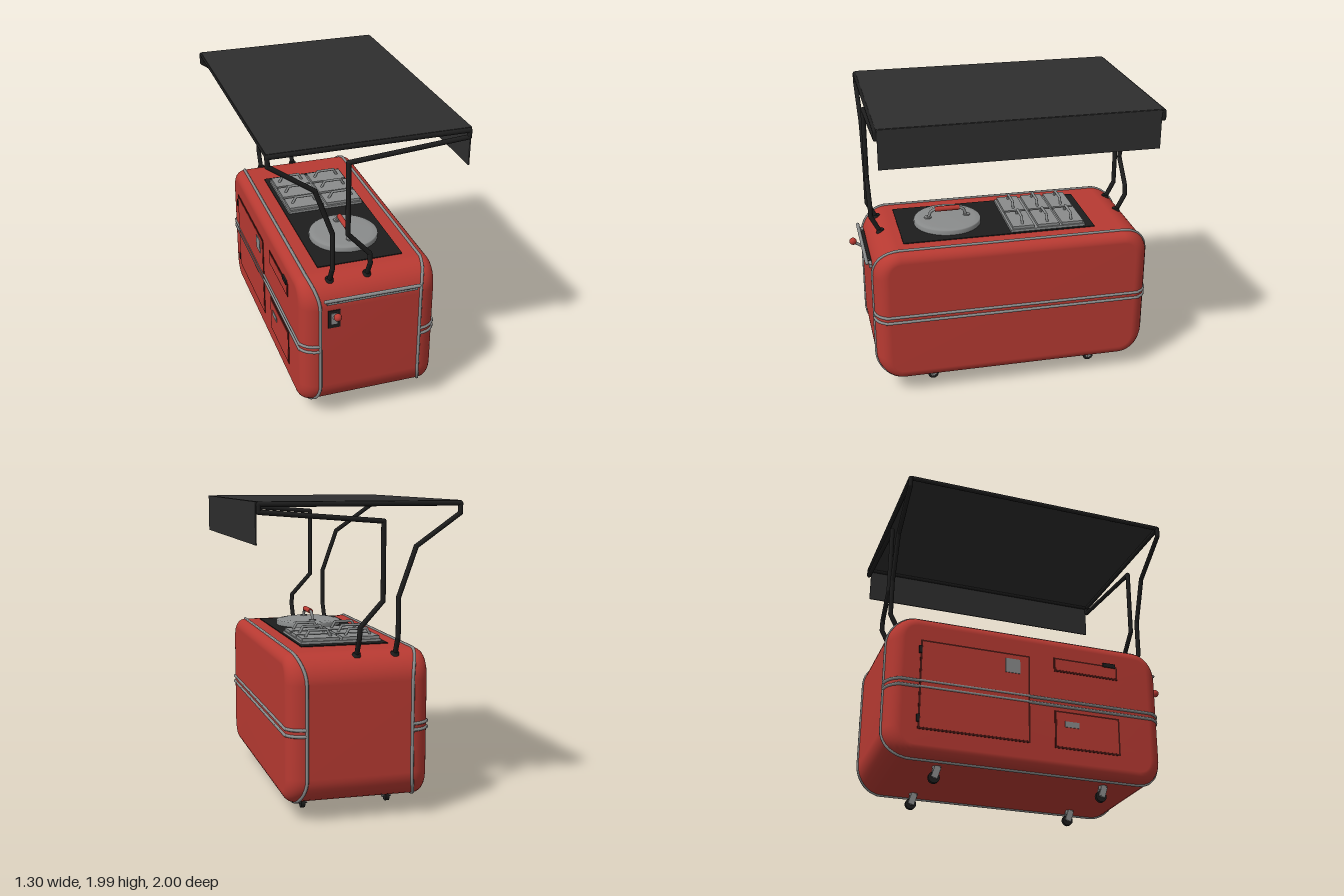
import * as THREE from 'three';

const mat = (name, color, side = THREE.FrontSide) => {
  const m = new THREE.MeshStandardMaterial({ color, side });
  m.name = name;
  return m;
};

export function createModel() {
  const red = mat('red paint', 0xb83a32);
  const darkRed = mat('dark red seam', 0x4a1714);
  const steel = mat('steel', 0x8a8c8c);
  const black = mat('black tube', 0x1d1d1d);
  const cloth = mat('charcoal canvas', 0x2e2e2e, THREE.DoubleSide);

  const root = new THREE.Group();
  root.name = 'foodCart';
  const add = (name, geo, m, x = 0, y = 0, z = 0, parent = root) => {
    const mesh = new THREE.Mesh(geo, m);
    mesh.name = name;
    mesh.position.set(x, y, z);
    parent.add(mesh);
    return mesh;
  };
  const box = (name, m, w, h, d, x, y, z, parent) =>
    add(name, new THREE.BoxGeometry(w, h, d), m, x, y, z, parent);
  const V = (p) => new THREE.Vector3(...p);
  // Straight round bars joined with ball elbows
  const pipe = (name, pts, r, m, parent = root) => {
    const g = new THREE.Group();
    g.name = name;
    parent.add(g);
    pts.forEach((p, i) => {
      add(name + 'Elbow', new THREE.SphereGeometry(r, 12, 8), m, ...p, g);
      if (!i) return;
      const a = V(pts[i - 1]), b = V(p), dir = b.clone().sub(a);
      const bar = add(name + 'Bar', new THREE.CylinderGeometry(r, r, dir.length(), 12), m, 0, 0, 0, g);
      bar.position.copy(a).add(b).multiplyScalar(0.5);
      bar.quaternion.setFromUnitVectors(new THREE.Vector3(0, 1, 0), dir.normalize());
    });
    return g;
  };

  // Body: rounded side profile, swept across x with softened sides
  const CX = 0.01, CY = 0.585, CZ = -0.045, HX = 0.46, HY = 0.475, HZ = 0.945, R = 0.18, SEG = 8;
  const profile = [];
  for (let c = 0; c < 4; c++) {
    for (let k = 0; k <= SEG; k++) {
      const a = (c + k / SEG) * Math.PI / 2, ny = Math.sin(a), nz = Math.cos(a);
      const sz = c === 0 || c === 3 ? 1 : -1, sy = c < 2 ? 1 : -1;
      profile.push({ y: CY + sy * (HY - R) + R * ny, z: CZ + sz * (HZ - R) + R * nz, ny, nz });
    }
  }
  // Point on the softened edge: t = 0 at the seam, t = 1 on the flat side
  const edgePoint = (p, t, s) => {
    const th = t * Math.PI / 2, f = p.nz * p.nz;
    const d = (0.07 + 0.03 * f) * (1 - Math.cos(th));
    const x = HX - (0.07 + 0.05 * f) * (1 - Math.sin(th));
    return [CX + s * x, p.y - p.ny * d, p.z - p.nz * d];
  };
  const rings = [];
  const STEPS = 7;
  for (let i = STEPS; i >= 0; i--) rings.push(profile.map((p) => edgePoint(p, i / STEPS, -1)));
  for (let i = 0; i <= STEPS; i++) rings.push(profile.map((p) => edgePoint(p, i / STEPS, 1)));
  const N = profile.length, pos = rings.flat(2), idx = [];
  for (let i = 0; i < rings.length - 1; i++) {
    for (let j = 0; j < N; j++) {
      const k = (j + 1) % N, a = i * N + j, b = i * N + k, c = b + N, d = a + N;
      idx.push(a, d, c, a, c, b);
    }
  }
  const total = rings.length * N;
  pos.push(CX - HX, CY, CZ, CX + HX, CY, CZ);
  for (let j = 0; j < N; j++) {
    const k = (j + 1) % N, last = total - N;
    idx.push(total, j, k, total + 1, last + k, last + j);
  }
  const bodyGeo = new THREE.BufferGeometry();
  bodyGeo.setAttribute('position', new THREE.Float32BufferAttribute(pos, 3));
  bodyGeo.setIndex(idx);
  bodyGeo.computeVertexNormals();
  add('body', bodyGeo, red);

  // Steel seam trims and paired side bands
  for (const s of [-1, 1]) {
    const seam = new THREE.CatmullRomCurve3(profile.map((p) => V(edgePoint(p, 0, s))), true, 'catmullrom', 0.1);
    add('seamTrim', new THREE.TubeGeometry(seam, 180, 0.011, 6, true), steel);
    for (const y of [0.605, 0.565]) {
      const pts = [];
      for (let i = 0; i <= 6; i++) pts.push(V(edgePoint({ y, z: CZ + HZ, ny: 0, nz: 1 }, i / 6, s)));
      for (let i = 6; i >= 0; i--) pts.push(V(edgePoint({ y, z: CZ - HZ, ny: 0, nz: -1 }, i / 6, s)));
      const curve = new THREE.CatmullRomCurve3(pts, false, 'catmullrom', 0.1);
      add('sideBand', new THREE.TubeGeometry(curve, 120, 0.011, 6), steel);
    }
  }

  // Service doors and recessed grip on the right side
  const SX = CX - HX;
  const door = (name, z0, z1, y0, y1) => {
    const w = z1 - z0, h = y1 - y0, y = (y0 + y1) / 2, z = (z0 + z1) / 2;
    box(name + 'Seam', darkRed, 0.006, h, w, SX - 0.001, y, z);
    box(name + 'Panel', red, 0.008, h - 0.024, w - 0.024, SX - 0.002, y, z);
  };
  door('largeDoor', -0.79, -0.05, 0.28, 0.89);
  door('smallDoor', 0.12, 0.58, 0.27, 0.53);
  door('gripRecess', 0.12, 0.58, 0.81, 0.91);
  box('largeDoorLatch', steel, 0.012, 0.1, 0.1, SX - 0.004, 0.8, -0.17);
  box('smallDoorLatch', steel, 0.012, 0.04, 0.1, SX - 0.004, 0.44, 0.24);
  box('gripCatch', black, 0.014, 0.03, 0.09, SX - 0.005, 0.91, 0.52);
  for (const y of [0.35, 0.82]) box('doorHinge', black, 0.014, 0.05, 0.02, SX - 0.005, y, -0.79);

  // Black worktop
  box('worktop', black, 0.58, 0.012, 1.32, 0.01, 1.06, 0.02);

  // Round griddle lid with its handle
  const lid = [[0, 0.045], [0.19, 0.042], [0.205, 0.037], [0.225, 0.036], [0.232, 0.03], [0.232, 0]];
  add('griddleLid', new THREE.LatheGeometry(lid.reverse().map(([x, y]) => new THREE.Vector2(x, y)), 48),
    steel, 0.01, 1.063, 0.335);
  pipe('lidHandle', [[0.01, 1.1, 0.47], [0.01, 1.15, 0.45], [0.01, 1.165, 0.42], [0.01, 1.165, 0.25],
    [0.01, 1.15, 0.22], [0.01, 1.1, 0.2]], 0.01, steel);
  const grip = add('lidGrip', new THREE.CylinderGeometry(0.018, 0.018, 0.17, 16), red, 0.01, 1.165, 0.335);
  grip.rotation.x = Math.PI / 2;
  for (const z of [0.47, 0.2])
    add('lidHandleFoot', new THREE.CylinderGeometry(0.025, 0.025, 0.012, 16), steel, 0.01, 1.108, z);

  // Food trays with arched handles
  box('trayFrame', steel, 0.54, 0.02, 0.52, 0.015, 1.073, -0.315);
  for (const x of [-0.12, 0.15]) {
    for (const z of [-0.145, -0.32, -0.49]) {
      box('trayLid', steel, 0.25, 0.024, 0.15, x, 1.09, z);
      pipe('trayHandle', [[x - 0.085, 1.1, z], [x - 0.06, 1.143, z], [x + 0.06, 1.143, z],
        [x + 0.085, 1.1, z]], 0.009, steel);
    }
  }

  // Canopy frames at both ends
  for (const [z, dir] of [[0.862, 1], [-0.952, -1]]) {
    const zi = z - dir * 0.062;
    pipe('canopyFrame', [[-0.24, 1.03, zi], [-0.24, 1.15, z], [-0.24, 1.4, z], [-0.35, 1.71, z],
      [-0.635, 1.91, z], [-0.635, 1.97, z], [0.63, 1.97, z], [0.63, 1.925, z], [-0.14, 1.865, z],
      [-0.14, 1.38, z], [0.005, 1.22, z], [0.01, 1.15, z], [0.01, 1.03, zi]], 0.016, black);
    for (const x of [-0.24, 0.01])
      add('frameCollar', new THREE.CylinderGeometry(0.024, 0.03, 0.03, 16), black, x, 1.04, zi);
  }
  for (const x of [-0.635, 0.63])
    pipe('canopyEdgeBar', [[x, 1.97, 0.862], [x, 1.97, -0.952]], 0.012, black);

  // Canvas roof and hanging flap
  box('canopyRoof', cloth, 1.28, 0.008, 1.81, 0, 1.984, -0.045);
  box('canopyFlap', cloth, 0.008, 0.255, 1.79, 0.643, 1.858, -0.04);

  // Front rail
  box('railPlate', steel, 0.61, 0.025, 0.02, 0.015, 0.933, 0.905);
  box('railSlot', black, 0.5, 0.008, 0.022, 0.015, 0.945, 0.905);
  pipe('railBar', [[-0.305, 0.96, 0.93], [0.325, 0.96, 0.93]], 0.012, steel);
  for (const x of [-0.22, 0.25]) pipe('railArm', [[x, 0.93, 0.9], [x, 0.96, 0.93]], 0.01, steel);

  // Front lever
  box('leverPlate', black, 0.08, 0.13, 0.008, -0.24, 0.805, 0.902);
  box('leverSlot', steel, 0.04, 0.08, 0.014, -0.24, 0.81, 0.903);
  pipe('leverRod', [[-0.24, 0.81, 0.9], [-0.24, 0.86, 0.975]], 0.011, steel);
  add('leverKnob', new THREE.SphereGeometry(0.026, 12, 8), red, -0.24, 0.862, 0.975);

  // Swivel casters
  for (const x of [-0.28, 0.295]) {
    for (const z of [0.505, -0.63]) {
      const g = new THREE.Group();
      g.name = 'caster';
      g.position.set(x, 0, z);
      root.add(g);
      add('casterStem', new THREE.CylinderGeometry(0.03, 0.024, 0.03, 16), steel, 0, 0.1, 0.018, g);
      for (const s of [-1, 1]) {
        const fork = box('casterFork', steel, 0.01, 0.075, 0.042, s * 0.024, 0.066, 0.008, g);
        fork.rotation.x = 0.3;
      }
      const wheel = add('casterWheel', new THREE.CylinderGeometry(0.037, 0.037, 0.026, 20), black, 0, 0.037, 0, g);
      wheel.rotation.z = Math.PI / 2;
      const hub = add('casterAxle', new THREE.CylinderGeometry(0.01, 0.01, 0.064, 10), steel, 0, 0.037, 0, g);
      hub.rotation.z = Math.PI / 2;
    }
  }
  return root;
}
